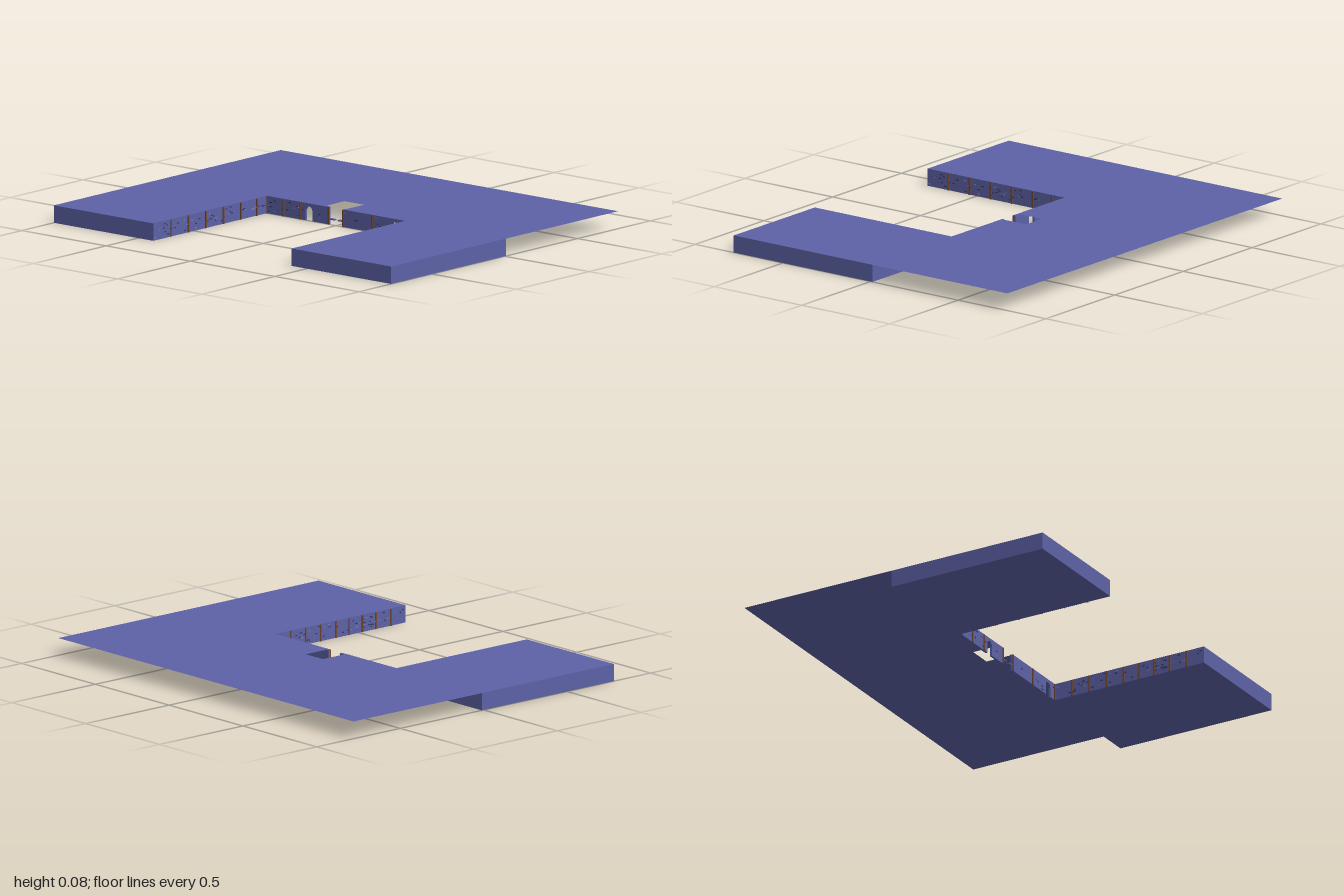
import * as THREE from 'three';

const H = 0.08, IN = 0.41, BACK = -0.01;
const mat = (color, side = THREE.FrontSide) => new THREE.MeshStandardMaterial({ color, side });
const blue = mat(0x5d62a6), blueThin = mat(0x5d62a6, THREE.DoubleSide);
const wood = mat(0x7a4a2a), stone = mat(0x34365c), paleStone = mat(0x7479b4);

function add(parent, name, geometry, material, x = 0, y = 0, z = 0) {
  const mesh = new THREE.Mesh(geometry, material);
  mesh.name = name;
  mesh.position.set(x, y, z);
  parent.add(mesh);
  return mesh;
}
const box = (parent, name, m, w, h, d, x, y, z) =>
  add(parent, name, new THREE.BoxGeometry(w, h, d), m, x, y, z);

// Wall piece from x0 to x1 with an arched culvert open at its foot
function wallPiece(x0, x1, archX) {
  const r = 0.02, s = new THREE.Shape();
  s.moveTo(x0, 0);
  s.lineTo(archX - r, 0);
  s.lineTo(archX - r, 0.045);
  s.absarc(archX, 0.045, r, Math.PI, 0, true);
  s.lineTo(archX + r, 0);
  s.lineTo(x1, 0);
  s.lineTo(x1, H);
  s.lineTo(x0, H);
  return new THREE.ExtrudeGeometry(s, { depth: -BACK, bevelEnabled: false, curveSegments: 8 });
}

// Wall facing: posts and scattered stones, laid out along +x and facing +z
function facing(name, length, posts, openings, seed) {
  const g = new THREE.Group();
  g.name = name;
  const rnd = () => (seed = (seed * 16807) % 2147483647) / 2147483647;
  for (const p of posts) box(g, 'post', wood, 0.007, H - 0.002, 0.005, p, H / 2 - 0.001, 0.0015);
  for (let i = 0; i < length * 60; i++) {
    const x = 0.01 + rnd() * (length - 0.02), y = 0.01 + rnd() * 0.06, w = 0.008 + rnd() * 0.008;
    if (openings.some(([a, b]) => x + w > a && x - w < b)) continue;
    box(g, 'stone', i % 3 ? stone : paleStone, w, 0.005, 0.002, x, y, 0.0005);
  }
  return g;
}

export function createModel() {
  const model = new THREE.Group();
  model.name = 'harbourQuay';

  // Two solid arms either side of the basin
  for (const [name, s] of [['leftArm', 1], ['rightArm', -1]])
    box(model, name, blue, 1 - IN, H, 0.78, s * (1 + IN) / 2, H / 2, 0.39);

  // Cross wall, split by the central gate opening
  add(model, 'wallRight', wallPiece(-1, -0.04, -0.16), blue, 0, 0, BACK);
  add(model, 'wallLeft', wallPiece(0.04, 1, 0.35), blue, 0, 0, BACK);

  // Thin rear deck with a shaft open towards the gate
  const deck = new THREE.Shape([
    [-1, 0.01], [-0.04, 0.01], [-0.04, 0.016], [-0.07, 0.016], [-0.07, 0.14], [0.046, 0.14],
    [0.046, 0.016], [0.04, 0.016], [0.04, 0.01], [1, 0.01], [1, 0.78], [-1, 0.78],
  ].map(([x, y]) => new THREE.Vector2(x, y)));
  add(model, 'rearDeck', new THREE.ShapeGeometry(deck).rotateX(-Math.PI / 2), blueThin, 0, H, 0);

  // Low gate leaves leaving a narrow slot between them
  for (const s of [1, -1])
    box(model, 'gateLeaf', blue, 0.03, 0.005, 0.015, s * 0.025, 0.025, -0.0075);

  // Decorated faces around the basin
  const back = facing('backFacing', 2 * IN, [0.004, 0.1, 0.2, 0.367, 0.453, 0.625, 0.816],
    [[0.225, 0.275], [0.365, 0.455], [0.735, 0.785]], 11);
  back.position.x = -IN;
  model.add(back);

  const right = facing('rightFacing', 0.78, [0.12, 0.24, 0.36, 0.48, 0.6, 0.71], [], 23);
  right.rotation.y = Math.PI / 2;
  right.position.set(-IN, 0, 0.78);
  model.add(right);

  const left = facing('leftFacing', 0.78, [0.09, 0.18, 0.27, 0.36, 0.44, 0.52, 0.6, 0.69], [], 37);
  left.rotation.y = -Math.PI / 2;
  left.position.x = IN;
  model.add(left);

  return model;
}
